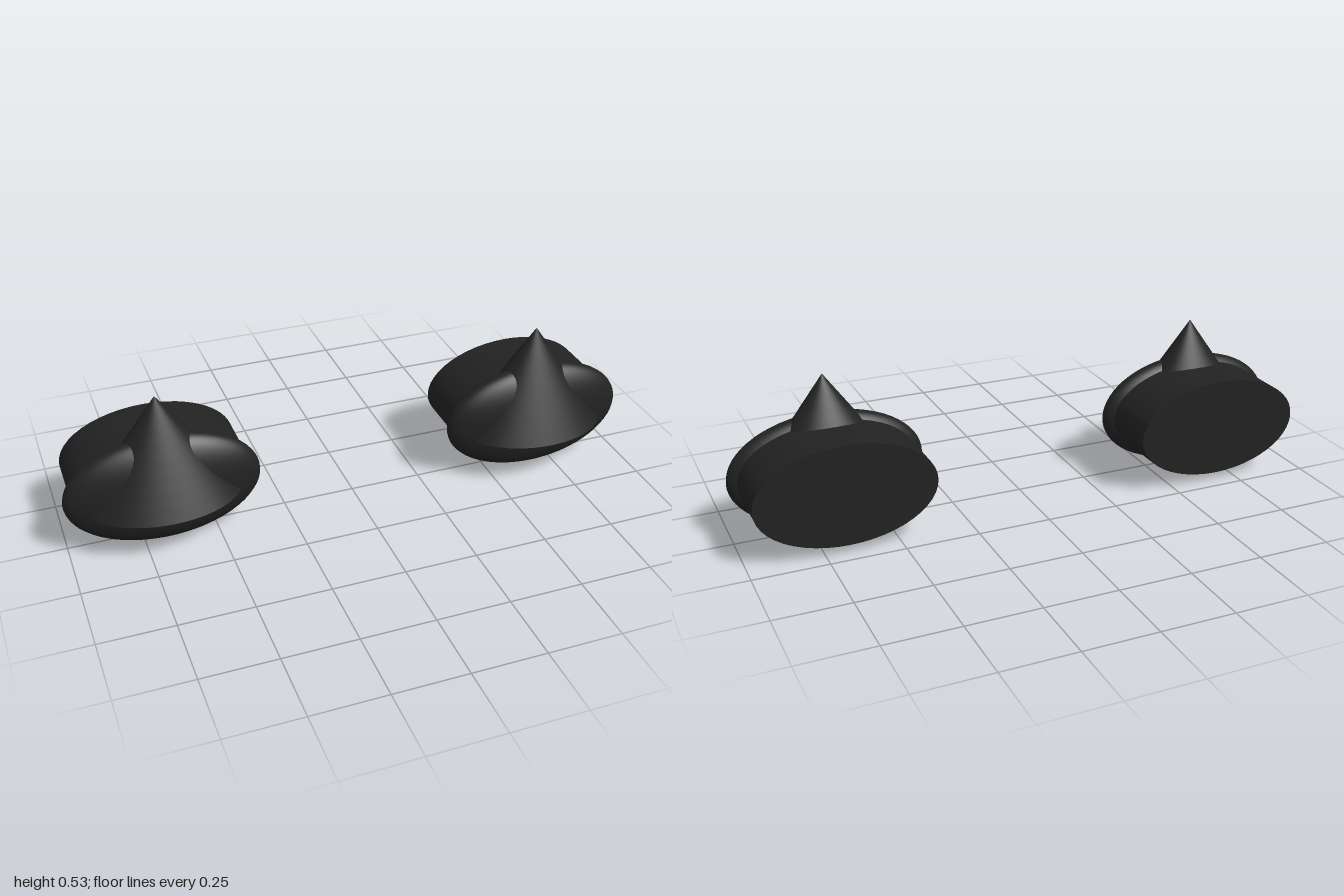
import * as THREE from 'three';

export function createModel() {
  const model = new THREE.Group();
  const black = new THREE.MeshStandardMaterial({ color: 0x222222 });
  black.name = 'black';

  function add(parent, name, geometry, position, scale) {
    const mesh = new THREE.Mesh(geometry, black);
    mesh.name = name;
    mesh.position.set(...position);
    mesh.scale.set(...scale);
    parent.add(mesh);
  }

  // Unit shapes, stretched into ovals
  const ball = new THREE.SphereGeometry(1, 48, 32);
  const drum = new THREE.CylinderGeometry(1, 1, 1, 48).rotateX(Math.PI / 2);
  const spike = new THREE.ConeGeometry(1, 1, 48, 8);

  for (const [side, name] of [[-1, 'rightStud'], [1, 'leftStud']]) {
    const stud = new THREE.Group();
    stud.name = name;
    stud.position.x = side * 0.671;
    // Flattened oval rim
    add(stud, 'rim', ball, [0, 0.198, 0.037], [0.329, 0.196, 0.083]);
    // Oval drum reaching back from the rim
    add(stud, 'drum', drum, [0, 0.202, -0.095], [0.3, 0.172, 0.22]);
    // Upright cone through the rim
    add(stud, 'cone', spike, [0, 0.345, 0.022], [0.265, 0.37, 0.184]);
    model.add(stud);
  }
  return model;
}
